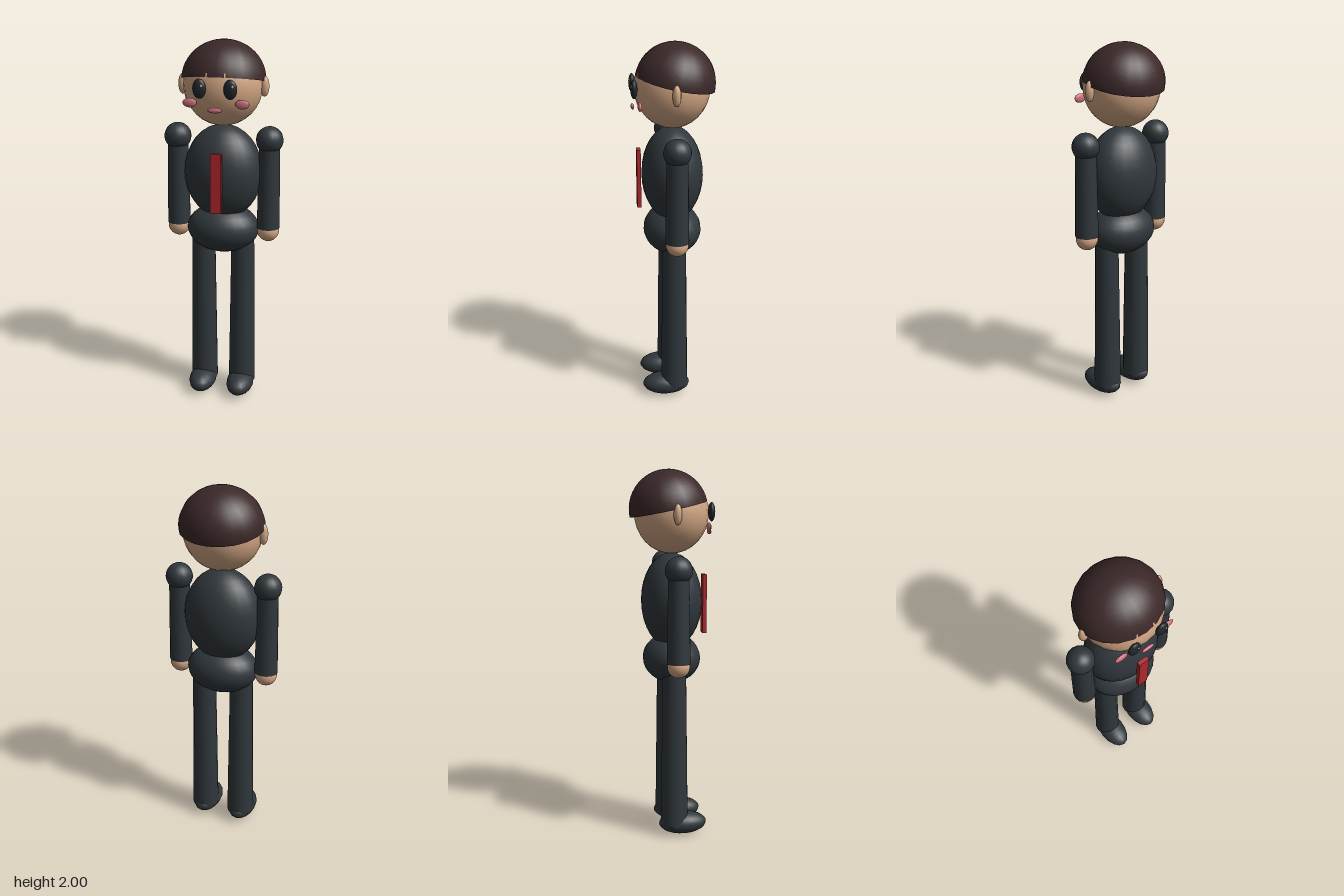
import * as THREE from 'three';

const material = (name, color) => {
  const m = new THREE.MeshStandardMaterial({ color });
  m.name = name;
  return m;
};

export function createModel() {
  const model = new THREE.Group();
  model.name = 'suitedFigure';

  const suit = material('charcoal suit', 0x30373c);
  const skin = material('skin', 0xd3a784);
  const hairBrown = material('dark brown hair', 0x3c2829);
  hairBrown.side = THREE.DoubleSide;
  const eyeBlack = material('eye black', 0x22272b);
  const pink = material('pink', 0xd0707f);
  const red = material('red tie', 0xae282c);

  const add = (name, geometry, mat, x, y, z) => {
    const mesh = new THREE.Mesh(geometry, mat);
    mesh.name = name;
    mesh.position.set(x, y, z);
    model.add(mesh);
    return mesh;
  };

  // Sphere stretched to three radii
  const ellipsoid = (name, mat, [x, y, z], [rx, ry, rz], segments = 20) =>
    add(name, new THREE.SphereGeometry(1, segments, 16).scale(rx, ry, rz), mat, x, y, z);

  // Body
  ellipsoid('torso', suit, [0, 1.3, 0], [0.212, 0.26, 0.165], 24);
  ellipsoid('hips', suit, [0, 0.985, 0], [0.198, 0.135, 0.157], 24);
  add('tie', new THREE.BoxGeometry(0.058, 0.32, 0.022), red, 0, 1.28, 0.18);

  // Head, and a hair cap tilted up at the front
  ellipsoid('head', skin, [0, 1.77, 0], [0.21, 0.215, 0.2], 24);
  const cap = new THREE.SphereGeometry(1, 20, 12, 0, Math.PI * 2, 0, Math.PI / 2);
  cap.rotateX(-0.21).scale(0.224, 0.21, 0.212);
  add('hair', cap, hairBrown, 0, 1.79, -0.016);
  ellipsoid('mouth', pink, [0, 1.67, 0.207], [0.037, 0.014, 0.009]);

  for (const [side, s] of [['left', 1], ['right', -1]]) {
    // Face
    ellipsoid(`${side}Ear`, skin, [s * 0.218, 1.767, 0], [0.025, 0.054, 0.022], 12);
    ellipsoid(`${side}Eye`, eyeBlack, [s * 0.08, 1.777, 0.203], [0.035, 0.05, 0.018], 16);
    ellipsoid(`${side}EyeGlint`, skin, [s * 0.08 + 0.013, 1.792, 0.216], [0.008, 0.008, 0.006], 8);
    ellipsoid(`${side}Cheek`, pink, [s * 0.136, 1.7, 0.178], [0.037, 0.024, 0.011], 16);

    // Arm
    ellipsoid(`${side}Shoulder`, suit, [s * 0.25, 1.485, 0], [0.073, 0.073, 0.073], 16);
    add(`${side}Arm`, new THREE.CylinderGeometry(0.055, 0.063, 0.48, 16), suit, s * 0.25, 1.24, 0);
    ellipsoid(`${side}Hand`, skin, [s * 0.25, 0.983, 0], [0.06, 0.06, 0.06], 16);

    // Leg
    add(`${side}Leg`, new THREE.CylinderGeometry(0.064, 0.076, 0.87, 16), suit, s * 0.11, 0.495, 0);
    ellipsoid(`${side}Shoe`, suit, [s * 0.11, 0.062, 0.047], [0.076, 0.062, 0.133], 16);
  }

  return model;
}
